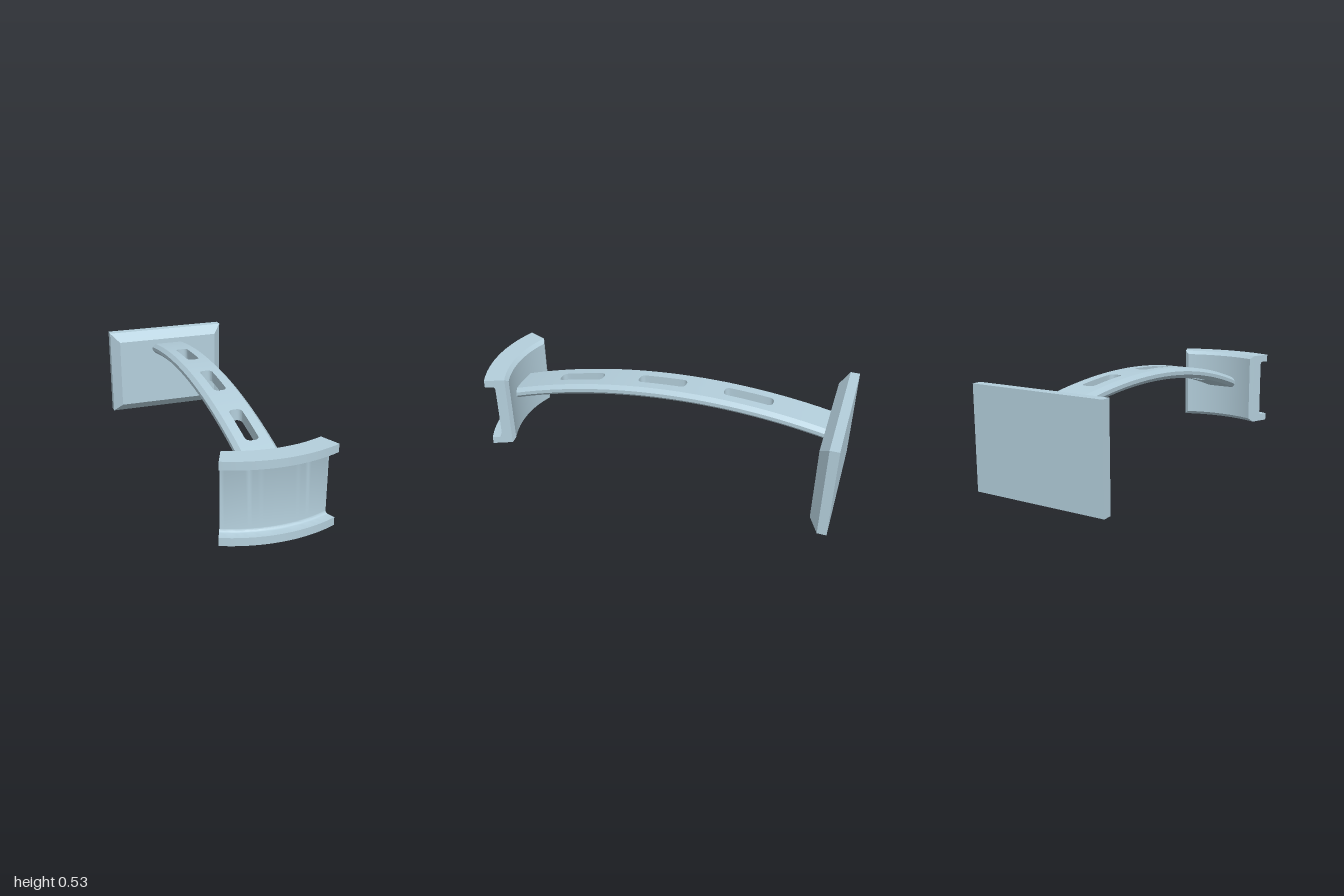
import * as THREE from 'three';
import { toCreasedNormals } from 'three/addons/utils/BufferGeometryUtils.js';

const material = new THREE.MeshStandardMaterial({ color: 0xb4cfdc });

// Skins a row of matching closed rings and caps both ends; skip(a, b, c) drops unwanted faces
function loft(name, rings, skip = () => false) {
  const pos = [];
  const ab = new THREE.Vector3(), ac = new THREE.Vector3();
  const tri = (a, b, c) => {
    const area = ab.subVectors(b, a).cross(ac.subVectors(c, a)).length();
    if (area > 1e-9 && !skip(a, b, c)) for (const p of [a, b, c]) pos.push(p.x, p.y, p.z);
  };
  const n = rings[0].length;
  for (let i = 0; i < rings.length - 1; i++) {
    for (let j = 0; j < n; j++) {
      const k = (j + 1) % n, r = rings[i], s = rings[i + 1];
      tri(r[j], r[k], s[k]);
      tri(r[j], s[k], s[j]);
    }
  }
  // caps, triangulated in the plane of each end ring
  const cap = (ring, flip) => {
    const u = new THREE.Vector3(0, 1, 0), normal = new THREE.Vector3();
    for (let j = 0; j < n; j++) normal.add(ab.crossVectors(ring[j], ring[(j + 1) % n]));
    const v = new THREE.Vector3().crossVectors(normal.normalize(), u);
    const flat = ring.map((p) => new THREE.Vector2(p.dot(u), p.dot(v)));
    for (const [a, b, c] of THREE.ShapeUtils.triangulateShape(flat, [])) {
      const A = ring[a], B = ring[b], C = ring[c];
      const facing = new THREE.Vector3().subVectors(B, A).cross(ac.subVectors(C, A)).dot(normal) > 0;
      if (facing !== flip) tri(A, B, C); else tri(A, C, B);
    }
  };
  cap(rings[0], true);
  cap(rings[rings.length - 1], false);
  const geometry = new THREE.BufferGeometry();
  geometry.setAttribute('position', new THREE.Float32BufferAttribute(pos, 3));
  const mesh = new THREE.Mesh(toCreasedNormals(geometry, 0.5), material);
  mesh.name = name;
  return mesh;
}

// Wall plate: a rectangle with a wide chamfer round its front
function wallPlate() {
  const rect = (x, y0, y1, z) => [[-x, y0], [x, y0], [x, y1], [-x, y1]].map(([a, b]) => new THREE.Vector3(a, b, z));
  return loft('wallPlate', [
    rect(0.37, 0, 0.53, -1), rect(0.37, 0, 0.53, -0.95), rect(0.318, 0.053, 0.478, -0.9),
  ]);
}

// Arched arm with chamfered edges, made as two halves around three slots
function arm() {
  const R = 3.45, apexZ = -0.25, top = 0.51;
  const height = (depth, z) => top - R + Math.sqrt((R - depth) ** 2 - (z - apexZ) ** 2);
  const slotHalf = 0.035, corner = 0.025, steps = 5;

  // stations along the arm: [z, half-width of the slot there]
  const stations = [];
  const plain = (a, b) => {
    const n = Math.ceil((b - a) / 0.04);
    for (let i = 0; i <= n; i++) stations.push([a + (b - a) * i / n, 0]);
  };
  let last = -0.94;
  for (const [a, b] of [[-0.605, -0.34], [-0.13, 0.14], [0.35, 0.615]]) {
    plain(last, a);
    const inset = [];
    for (let i = 0; i <= steps; i++) {
      const t = i / steps * Math.PI / 2;
      inset.push([corner * (1 - Math.cos(t)), slotHalf - corner + corner * Math.sin(t)]);
    }
    for (const [d, w] of inset) stations.push([a + d, w]);
    const z0 = a + corner, z1 = b - corner;
    for (let i = 1; i < 6; i++) stations.push([z0 + (z1 - z0) * i / 6, slotHalf]);
    for (const [d, w] of inset.reverse()) stations.push([b - d, w]);
    last = b;
  }
  plain(last, 0.9);

  const group = new THREE.Group();
  group.name = 'arm';
  for (const side of [1, -1]) {
    const rings = stations.map(([z, w]) => {
      const ring = [[w, 0.06], [0.085, 0.06], [0.105, 0.04], [0.105, 0.02], [0.085, 0], [w, 0]]
        .map(([x, depth]) => new THREE.Vector3(side * x, height(depth, z), z));
      return side > 0 ? ring : ring.reverse();
    });
    // the halves are joined on the centre plane, so no faces are needed there
    const onCentre = (...p) => p.every((q) => Math.abs(q.x) < 1e-6);
    group.add(loft(side > 0 ? 'leftArmHalf' : 'rightArmHalf', rings, onCentre));
  }
  return group;
}

// Curved cradle: a channel profile (radius, height) swept round a vertical axis
function cradle() {
  const centreZ = 0.27, maxAngle = 0.408, back = 0.6, chamfer = 0.02;
  const front = 0.73, floor = 0.675, fillet = 0.016, y0 = 0.056, y1 = 0.479;
  const lip = 0.042, low = y0 + lip, high = y1 - lip;
  const profile = [[back, y0 + chamfer], [back + chamfer, y0], [front, y0], [front, low]];
  const round = [];
  for (let i = 0; i <= 6; i++) {
    const t = i / 6 * Math.PI / 2;
    round.push([floor + fillet * (1 - Math.sin(t)), fillet * (1 - Math.cos(t))]);
  }
  for (const [r, d] of round) profile.push([r, low + d]);
  for (const [r, d] of round.reverse()) profile.push([r, high - d]);
  profile.push([front, high], [front, y1], [back + chamfer, y1], [back, y1 - chamfer]);

  const ring = (angle, isEnd) => profile.map(([r, y]) => {
    // at the ends the back edge is chamfered away
    if (isEnd && r === back) { r = back + chamfer; y = y < 0.25 ? y0 : y1; }
    return new THREE.Vector3(r * Math.sin(angle), y, centreZ + r * Math.cos(angle));
  });
  const inner = maxAngle - 0.032, n = 28;
  const rings = [ring(maxAngle, true)];
  for (let i = 0; i <= n; i++) rings.push(ring(inner * (1 - 2 * i / n), false));
  rings.push(ring(-maxAngle, true));
  return loft('cradle', rings);
}

export function createModel() {
  const model = new THREE.Group();
  model.name = 'wallHanger';
  model.add(wallPlate(), arm(), cradle());
  return model;
}
